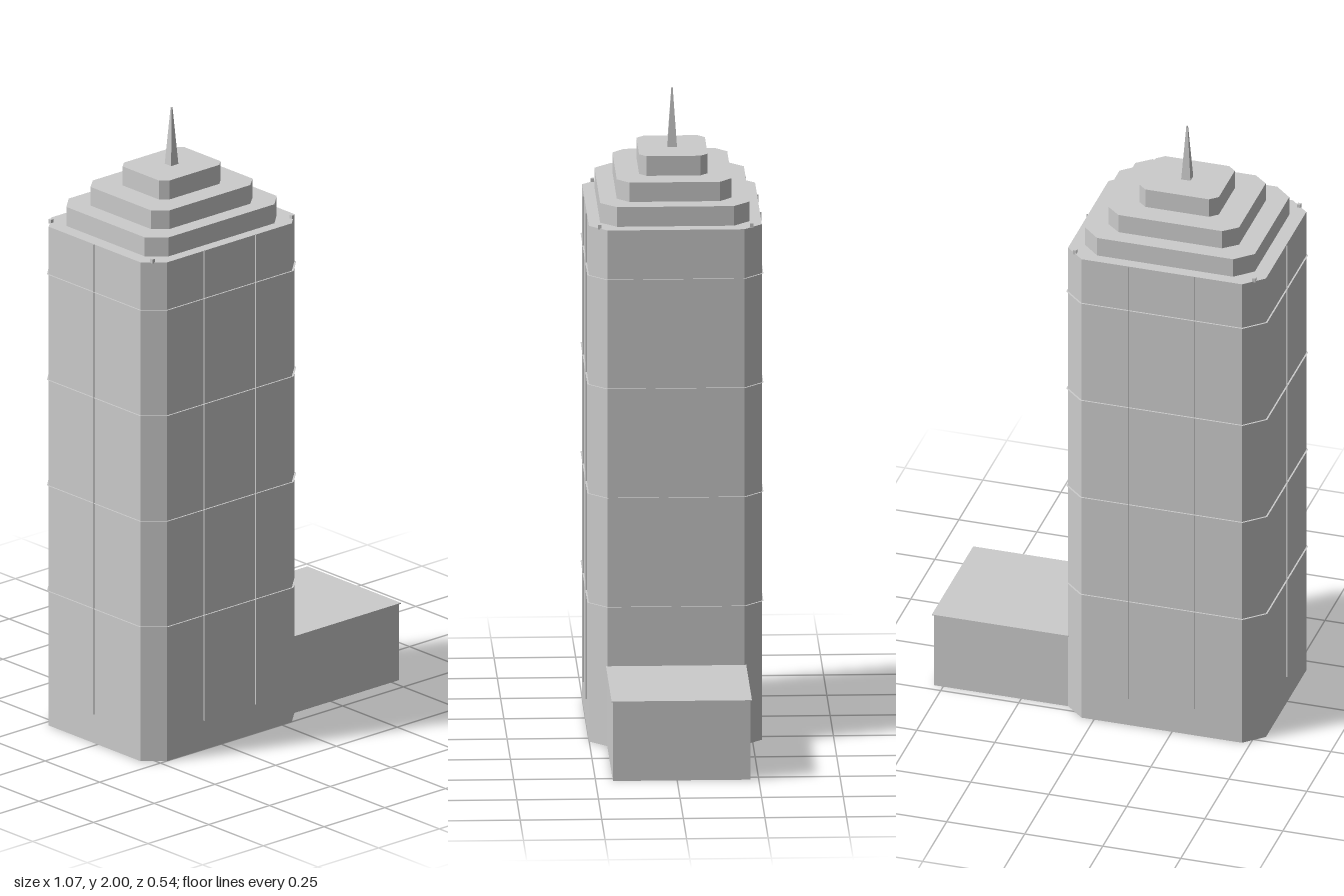
import * as THREE from 'three';

const concrete = new THREE.MeshStandardMaterial({ color: 0xcccccc, side: THREE.DoubleSide });
concrete.name = 'concrete grey';

// Octagon outline: half sizes w and d, corners cut by cx and cz
function outline(w, d, cx, cz) {
  return [
    [w, -d + cz], [w, d - cz], [w - cx, d], [-w + cx, d],
    [-w, d - cz], [-w, -d + cz], [-w + cx, -d], [w - cx, -d],
  ].map(([x, y]) => new THREE.Vector2(x, y));
}

function add(parent, name, geometry, x = 0, y = 0, z = 0) {
  const mesh = new THREE.Mesh(geometry, concrete);
  mesh.name = name;
  mesh.position.set(x, y, z);
  parent.add(mesh);
  return mesh;
}

// Hollow prism open at the bottom: flat walls plus a roof
function shell(parent, name, points, y0, y1) {
  const group = new THREE.Group();
  group.name = name;
  const pos = [];
  points.forEach((a, i) => {
    const b = points[(i + 1) % points.length];
    const [ax, az, bx, bz] = [a.x, -a.y, b.x, -b.y];
    pos.push(ax, y0, az, bx, y0, bz, bx, y1, bz, ax, y0, az, bx, y1, bz, ax, y1, az);
  });
  const walls = new THREE.BufferGeometry();
  walls.setAttribute('position', new THREE.Float32BufferAttribute(pos, 3));
  walls.computeVertexNormals();
  add(group, name + 'Walls', walls);
  const roof = new THREE.ShapeGeometry(new THREE.Shape(points)).rotateX(-Math.PI / 2);
  add(group, name + 'Roof', roof, 0, y1, 0);
  parent.add(group);
}

export function createModel() {
  const model = new THREE.Group();
  model.name = 'skyscraper';
  const tower = new THREE.Group();
  tower.name = 'tower';
  tower.position.set(-0.217, 0, -0.014);
  model.add(tower);

  // Main shaft with cut corners
  const W = 0.317, D = 0.265, H = 1.63, RIB = 0.005;
  shell(tower, 'shaft', outline(W, D, 0.06, 0.055), 0, H);

  // Stepped crown
  [
    [0.272, 0.229, 0.054, 0.05, H, 1.692],
    [0.209, 0.176, 0.043, 0.037, 1.692, 1.753],
    [0.127, 0.105, 0.025, 0.022, 1.753, 1.815],
  ].forEach(([w, d, cx, cz, y0, y1], i) => shell(tower, 'crownTier' + (i + 1), outline(w, d, cx, cz), y0, y1));

  // Square tapering spire
  const spire = new THREE.CylinderGeometry(0.003, 0.021, 0.185, 4).toNonIndexed();
  spire.rotateY(Math.PI / 4);
  spire.computeVertexNormals();
  add(tower, 'spire', spire, 0, 1.9075, 0);

  // Thin horizontal belts around the shaft
  const ring = new THREE.Shape(outline(W + RIB, D + RIB, 0.062, 0.057));
  ring.holes.push(new THREE.Path(outline(W, D, 0.06, 0.055).reverse()));
  const belt = new THREE.ShapeGeometry(ring).rotateX(-Math.PI / 2);
  for (let i = 0; i < 4; i++) add(tower, 'belt', belt, 0, 0.44 + i * 0.345, 0);

  // Thin vertical fins: two on each wide face, one on each narrow face
  const y0 = 0.095, fin = new THREE.PlaneGeometry(RIB, H - y0);
  const finY = (H + y0) / 2;
  for (const s of [-1, 1]) {
    add(tower, 'sideFin', fin, s * (W + RIB / 2), finY, 0);
    for (const x of [-0.106, 0.106]) {
      add(tower, 'faceFin', fin, x, finY, s * (D + RIB / 2)).rotation.y = Math.PI / 2;
    }
    // Small corner posts on the shaft roof
    for (const t of [-1, 1]) {
      add(tower, 'cornerPost', new THREE.BoxGeometry(0.011, 0.014, 0.011), s * 0.287, H + 0.004, t * 0.233);
    }
  }

  // Low annex, open below, with a slightly overhanging roof sheet
  const annex = new THREE.Group();
  annex.name = 'annex';
  annex.position.set(0.315, 0, -0.014);
  model.add(annex);
  shell(annex, 'annexBlock', outline(0.215, 0.211, 0, 0).filter((p, i) => i % 2 === 0), 0, 0.249);
  add(annex, 'annexRoofSheet', new THREE.BoxGeometry(0.438, 0.003, 0.43), 0.001, 0.251, 0);

  return model;
}
